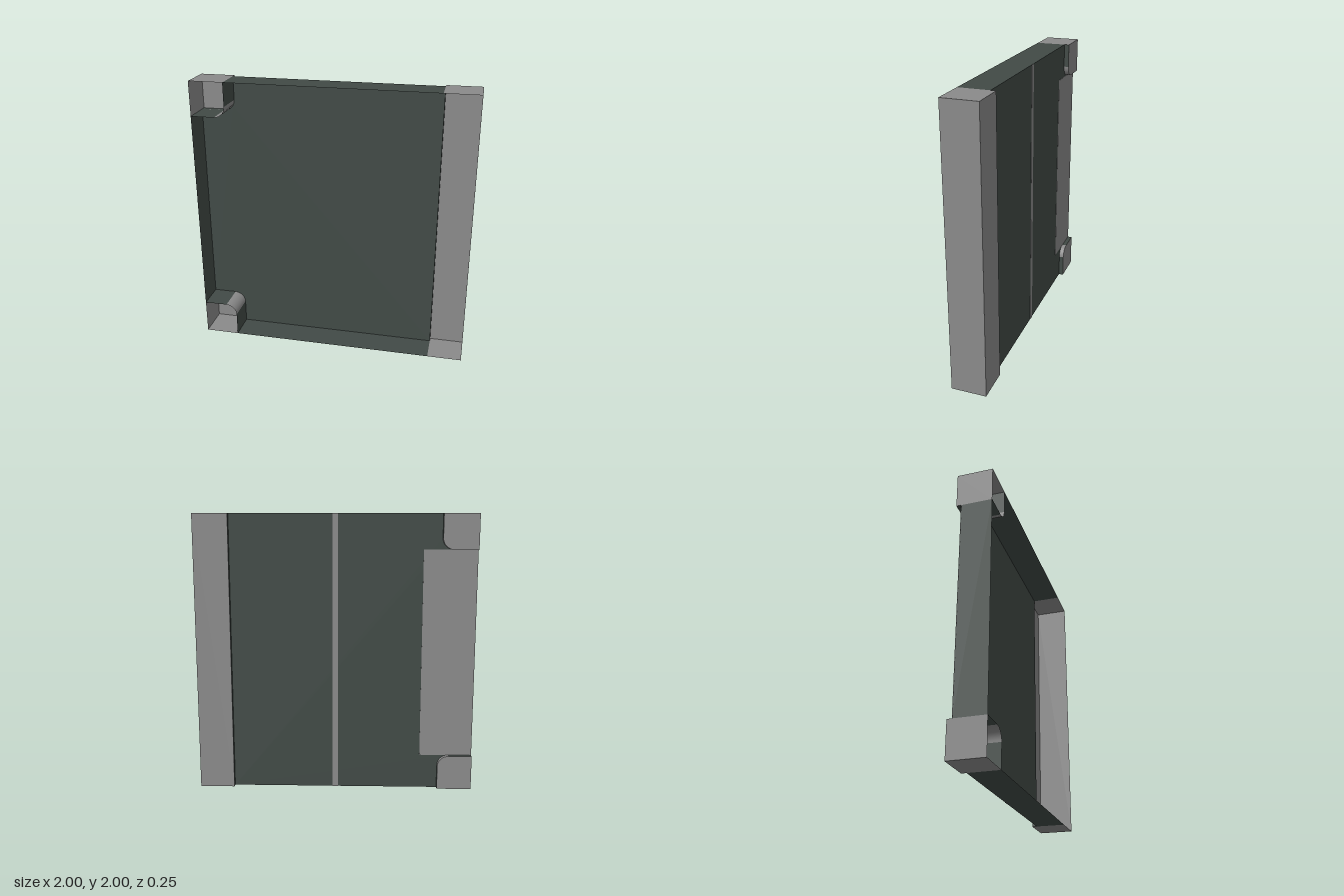
import * as THREE from 'three';

export function createModel() {
  const model = new THREE.Group();
  const mat = (name, color) => {
    const m = new THREE.MeshStandardMaterial({ color, side: THREE.DoubleSide });
    m.name = name;
    return m;
  };
  const green = mat('dark green', 0x414a46);
  const grey = mat('grey', 0x8a8a8a);

  const FRONT = 0.125, BACK = -0.125, PANEL = -0.09;

  const add = (name, geometry, material, parent = model) => {
    const mesh = new THREE.Mesh(geometry, material);
    mesh.name = name;
    parent.add(mesh);
    return mesh;
  };

  // Open sheet following an [x, y] path, running in z
  const wall = (name, path, z0, z1, material, parent) => {
    const pos = [], index = [];
    path.forEach(([x, y], i) => {
      pos.push(x, y, z0, x, y, z1);
      if (i) {
        const b = 2 * i, a = b - 2;
        index.push(a, b, a + 1, a + 1, b, b + 1);
      }
    });
    const g = new THREE.BufferGeometry();
    g.setAttribute('position', new THREE.Float32BufferAttribute(pos, 3));
    g.setIndex(index);
    g.computeVertexNormals();
    add(name, g, material, parent);
  };

  // Flat face turned to the back
  const face = (name, path, z, material, parent) => {
    const g = new THREE.ShapeGeometry(new THREE.Shape(path.map(([x, y]) => new THREE.Vector2(x, y))));
    g.scale(1, 1, -1);
    g.index.array.reverse();
    g.computeVertexNormals();
    g.translate(0, 0, z);
    add(name, g, material, parent);
  };

  // Rounded inner corner of a corner guard, from its horizontal to its upright edge
  const R = 0.08, STEPS = 8;
  const arc = (flip) => Array.from({ length: STEPS + 1 }, (_, i) => {
    const t = (1 - i / STEPS) * Math.PI / 2;
    const y = 0.25 - R + R * Math.sin(t);
    return [-0.75 - R + R * Math.cos(t), flip ? 2 - y : y];
  });

  // Cover: recessed panel with its rim, open at the front
  const cover = new THREE.Group();
  cover.name = 'cover';
  model.add(cover);
  face('coverPanel', [
    [-1, 0.25], ...arc(false), [-0.75, 0], [0.75, 0], [0.75, 2], [-0.75, 2],
    ...arc(true).reverse(), [-1, 1.75],
  ], PANEL, green, cover);
  wall('coverBottomRim', [[-0.75, 0], [0.75, 0]], PANEL, FRONT, green, cover);
  wall('coverTopRim', [[0.75, 2], [-0.75, 2]], PANEL, FRONT, green, cover);
  wall('coverSideRim', [[-1, 1.75], [-1, 0.25]], PANEL, FRONT, green, cover);
  wall('spineStep', [[0.75, 2], [0.75, 0]], BACK, PANEL, green, cover);

  // Spine: hollow channel, open at the front
  const spine = new THREE.Group();
  spine.name = 'spine';
  model.add(spine);
  face('spineBack', [[0.75, 0], [1, 0], [1, 2], [0.75, 2]], BACK, grey, spine);
  wall('spineBottom', [[0.75, 0], [1, 0]], BACK, FRONT, grey, spine);
  wall('spineSide', [[1, 0], [1, 2]], BACK, FRONT, grey, spine);
  wall('spineTop', [[1, 2], [0.75, 2]], BACK, FRONT, grey, spine);

  // Corner guards, mirrored bottom and top
  for (const flip of [false, true]) {
    const guard = new THREE.Group();
    guard.name = flip ? 'topCornerGuard' : 'bottomCornerGuard';
    model.add(guard);
    const Y = (y) => (flip ? 2 - y : y);
    const curve = arc(flip);
    const outline = [[-1, Y(0)], [-0.75, Y(0)], ...[...curve].reverse(), [-1, Y(0.25)]];
    face('guardBack', flip ? outline.reverse() : outline, BACK, grey, guard);
    wall('guardEnd', [[-1, Y(0)], [-0.75, Y(0)]], BACK, FRONT, grey, guard);
    wall('guardSide', [[-1, Y(0.25)], [-1, Y(0)]], BACK, FRONT, grey, guard);
    wall('guardCurve', curve, BACK, FRONT, grey, guard);
    wall('guardInnerEnd', [[-1, Y(0.25)], curve[0]], BACK, FRONT, green, guard);
    wall('guardInnerSide', [curve[STEPS], [-0.75, Y(0)]], BACK, FRONT, green, guard);
  }

  // Painted back details: centre stripe and edge band
  const plate = (name, x0, x1, y0, y1) => {
    const g = new THREE.BoxGeometry(x1 - x0, y1 - y0, 0.002);
    add(name, g, grey).position.set((x0 + x1) / 2, (y0 + y1) / 2, PANEL - 0.0015);
  };
  plate('backStripe', -0.02, 0.02, 0, 2);
  plate('backEdgeBand', -1, -0.62, 0.25, 1.75);

  return model;
}
